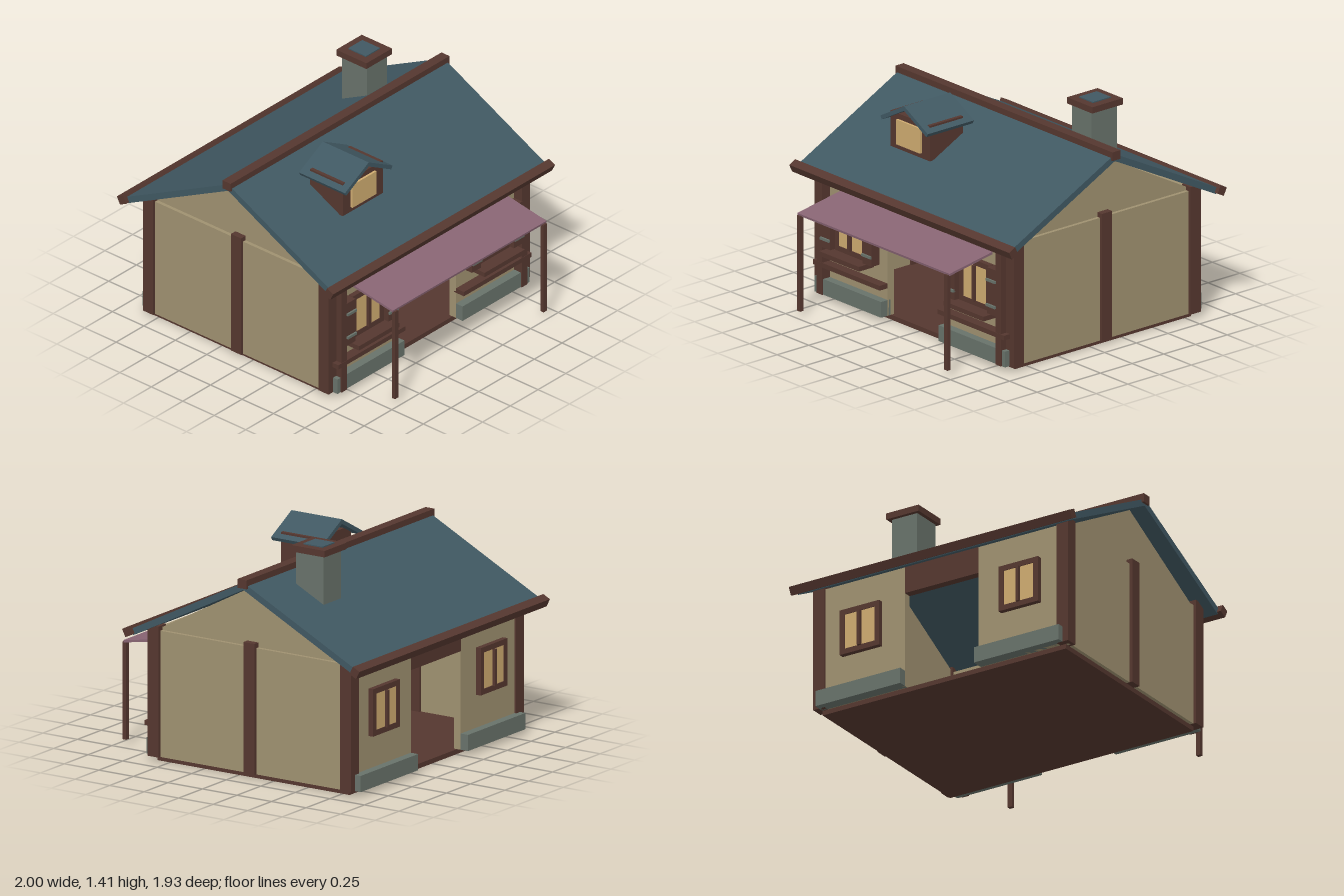
import * as THREE from 'three';

const paint = (name, color) => Object.assign(new THREE.MeshStandardMaterial({ color }), { name });

export function createModel() {
  const house = new THREE.Group();
  house.name = 'house';
  const timber = paint('dark timber', 0x55372f);
  const plaster = paint('plaster', 0x9f9170);
  const slate = paint('blue slate', 0x405862);
  const stone = paint('grey stone', 0x68726a);
  const glass = paint('lit glass', 0xcfab70);
  const cloth = paint('mauve cloth', 0x886473);

  const add = (name, geo, mat) => {
    const m = new THREE.Mesh(geo, mat);
    m.name = name;
    house.add(m);
    return m;
  };
  // Box given by its extents on each axis
  const box = (name, mat, x0, x1, y0, y1, z0, z1) => {
    const m = add(name, new THREE.BoxGeometry(Math.abs(x1 - x0), y1 - y0, Math.abs(z1 - z0)), mat);
    m.position.set((x0 + x1) / 2, (y0 + y1) / 2, (z0 + z1) / 2);
    return m;
  };
  // Profile of [across, y] points pushed along an axis
  const prism = (pts, depth) => new THREE.ExtrudeGeometry(
    new THREE.Shape(pts.map(([a, b]) => new THREE.Vector2(a, b))), { depth, bevelEnabled: false }
  ).translate(0, 0, -depth / 2);
  const prismX = (pts, depth) => prism(pts, depth).rotateY(-Math.PI / 2);
  // Folded roof sheet, ridge at across = 0
  const fold = (ridge, half, slope, t) => {
    const c = Math.cos(Math.atan(slope)), s = Math.sin(Math.atan(slope));
    const ey = ridge - half * slope;
    const ix = half - t * s, iy = ey - t * c;
    return [[-half, ey], [-ix, iy], [0, ridge - t / c], [ix, iy], [half, ey], [0, ridge]];
  };
  const MID = -0.105; // z of the ridge

  box('floor', timber, -0.865, 0.865, 0, 0.03, -0.80, 0.59);

  // Main roof with ridge and eave beams
  add('mainRoof', prismX(fold(1.228, 0.815, 0.505, 0.04), 1.945), slate).position.z = MID;
  box('ridgeBeam', timber, -0.987, 0.987, 1.195, 1.25, MID - 0.032, MID + 0.032);
  for (const s of [1, -1]) {
    const eave = box('eaveBeam', timber, -1, 1, 0.777, 0.831, MID + s * 0.823 - 0.027, MID + s * 0.823 + 0.027);
    eave.rotation.x = s * 0.468;
  }

  for (const s of [1, -1]) {
    // Side walls, gables and posts
    box('sideWall', plaster, s * 0.84, s * 0.888, 0.03, 0.81, -0.80, 0.59);
    add('gable', prismX([[-0.695, 0.81], [0.695, 0.81], [0, 1.182]], 0.025), plaster)
      .position.set(s * 0.853, 0, MID);
    for (const z of [0.595, -0.10, -0.80]) {
      box('post', timber, s * 0.826, s * 0.907, 0.03, 0.84, z - 0.04, z + 0.04);
    }

    // Front trim and awning posts
    box('frontTrim', timber, s * 0.787, s * 0.837, 0.03, 0.80, 0.60, 0.678);
    box('frontRail', timber, s * 0.262, s * 0.87, 0.205, 0.235, 0.60, 0.68);
    box('awningPost', timber, s * 0.655, s * 0.685, 0.03, 0.635, 0.942, 0.967);

    // Window sill and shutters at the front
    box('windowSill', timber, s * 0.385, s * 0.747, 0.305, 0.335, 0.60, 0.737);
    for (const x of [0.376, 0.754]) {
      box('shutter', timber, s * (x - 0.041), s * (x + 0.041), 0.335, 0.628, 0.61, 0.68);
      for (const y of [0.393, 0.553]) {
        box('shutterStrap', stone, s * (x - 0.041), s * (x + 0.041), y - 0.008, y + 0.008, 0.67, 0.692);
      }
    }

    // Wall panel, footing and window on the front (d = 1) and back (d = -1)
    for (const d of [1, -1]) {
      const z = (v) => MID + d * v;
      box('wallPanel', plaster, s * 0.262, s * 0.85, 0.03, 0.81, z(0.672), z(0.722));
      box('stoneFooting', stone, s * 0.262, s * 0.866, 0.03, 0.13, z(0.70), z(0.775));
      box('windowPane', glass, s * 0.459, s * 0.671, 0.363, 0.592, z(0.742), z(0.75));
      box('windowMullion', timber, s * 0.555, s * 0.575, 0.363, 0.592, z(0.74), z(0.77));
      for (const x of [0.425, 0.671]) {
        box('windowFrameSide', timber, s * x, s * (x + 0.034), 0.333, 0.626, z(0.70), z(0.755));
      }
      for (const y of [0.333, 0.592]) {
        box('windowFrameRail', timber, s * 0.425, s * 0.705, y, y + 0.034, z(0.70), z(0.755));
      }
    }

    // Door lintel on both faces
    box('doorLintel', timber, -0.262, 0.262, 0.64, 0.81, MID + s * 0.672, MID + s * 0.724);
  }

  // Sloping awning
  add('awning', prismX([[0.61, 0.69], [0.955, 0.632], [0.957, 0.646], [0.612, 0.705]], 1.385), cloth);

  // Dormer
  box('dormerBody', timber, -0.50, -0.14, 0.99, 1.215, 0.13, 0.39);
  box('dormerWindow', glass, -0.43, -0.213, 1.022, 1.18, 0.385, 0.405);
  add('dormerRoof', prism(fold(1.302, 0.215, 0.55, 0.025), 0.365), slate).position.set(-0.32, 0, 0.255);

  // Chimney
  box('chimneyStack', stone, 0.43, 0.61, 0.98, 1.37, -0.436, -0.236);
  box('chimneyCap', timber, 0.405, 0.635, 1.363, 1.403, -0.46, -0.22);
  box('chimneyFlue', slate, 0.457, 0.583, 1.40, 1.41, -0.41, -0.27);

  return house;
}
